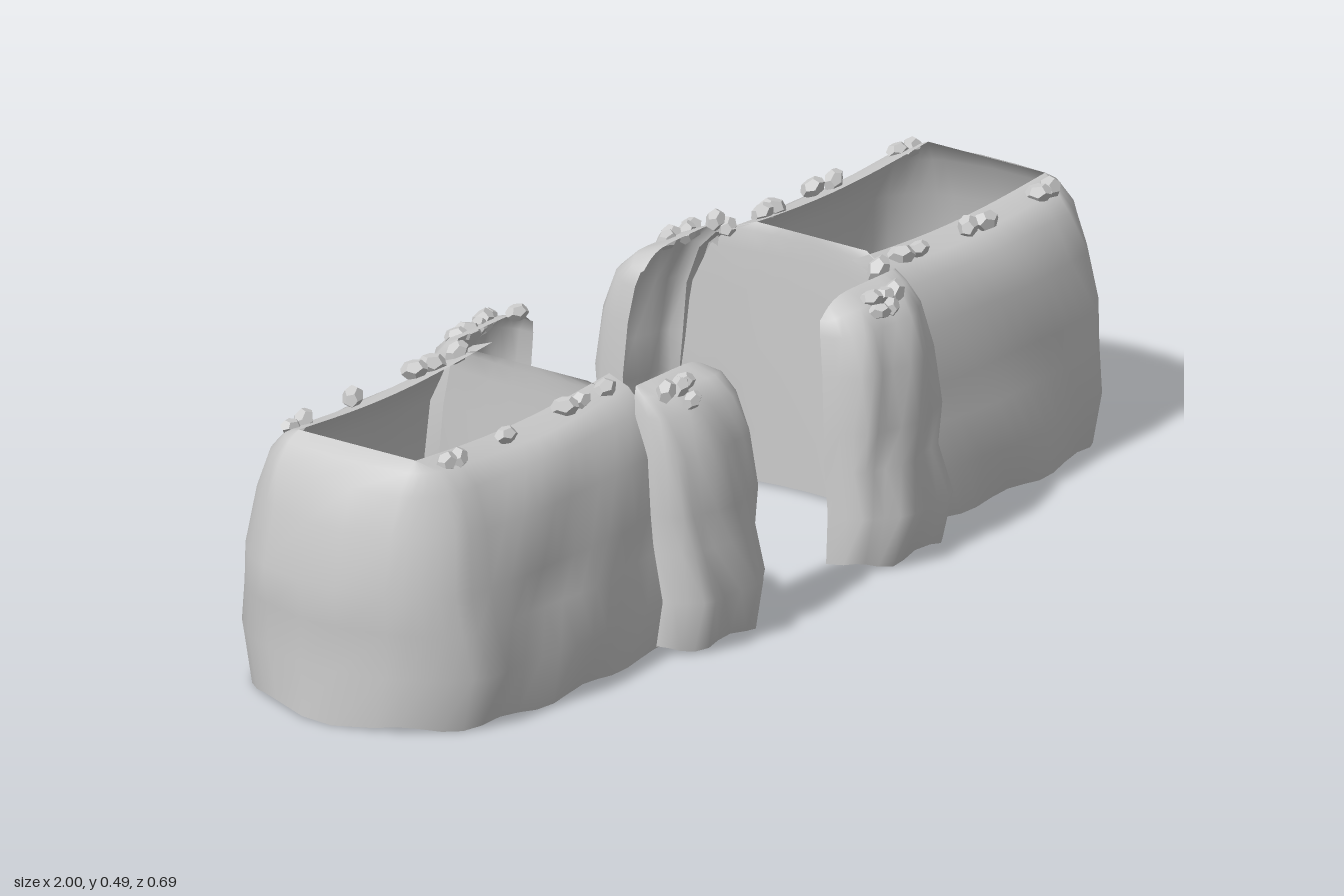
import * as THREE from 'three';

const grey = new THREE.MeshStandardMaterial({ color: 0xcccccc, side: THREE.DoubleSide });
const rockMat = new THREE.MeshStandardMaterial({ color: 0xcccccc, flatShading: true });

let seed = 7;
const rand = () => (seed = (seed * 16807) % 2147483647) / 2147483647;

// Smooth open sheet through rows of equally many [x, y, z] points
function sheet(name, rows) {
  const n = rows[0].length, index = [];
  for (let r = 0; r < rows.length - 1; r++) {
    for (let i = 0; i < n - 1; i++) {
      const a = r * n + i, b = a + n;
      index.push(a, a + 1, b, a + 1, b + 1, b);
    }
  }
  const geo = new THREE.BufferGeometry();
  geo.setAttribute('position', new THREE.Float32BufferAttribute(rows.flat(2), 3));
  geo.setIndex(index);
  geo.computeVertexNormals();
  const mesh = new THREE.Mesh(geo, grey);
  mesh.name = name;
  return mesh;
}

// Wall levels: height, half depth, outer x, corner cut, corner drop in z
const wallLevels = [
  [0.008, 0.266, 0.975, 0.12, 0.14], [0.1, 0.283, 0.97, 0.115, 0.14], [0.18, 0.263, 0.97, 0.1, 0.12],
  [0.25, 0.258, 0.978, 0.1, 0.11], [0.35, 0.243, 0.955, 0.09, 0.1], [0.42, 0.21, 0.937, 0.08, 0.07],
  [0.455, 0.172, 0.91, 0.05, 0.04], [0.47, 0.125, 0.885, 0, 0],
];
const INNER = 0.345;

// U-shaped rock wall: front, chamfered and bowed outer end, back
function rockWall(sx, dz) {
  const rows = wallLevels.map(([y, h, out, cut, drop], k) => {
    const loose = 1 - (k / 7) ** 4;
    const half = [];
    for (let i = 0; i <= 12; i++) {
      const t = i / 12, x = INNER + (out - cut - INNER) * t;
      const bulge = 0.07 * (Math.sin(Math.PI * t) - 1) + 0.014 * Math.sin(i * 0.95 + k * 1.6);
      half.push([x, h * (1 + bulge * loose), Math.sin(Math.PI * t)]);
    }
    const z0 = half[12][1];
    for (let i = 1; i <= 5; i++) {
      const t = i / 5, a = t * Math.PI / 2;
      const px = 0.5 * (t + Math.sin(a)), pz = 0.5 * (t + 1 - Math.cos(a));
      half.push([out - cut + cut * px, z0 - drop * pz, 0]);
    }
    half.push([out + 0.024 * loose, (z0 - drop) * 0.3, 0]);
    const back = half.slice().reverse().map(([x, z, s]) => [x, -z, s]);
    return half.concat(back).map(([x, z, s], i) => {
      const base = k === 0 ? 0.005 * Math.sin(i * 1.3) : 0;
      const sag = k > 5 ? -0.014 * s : 0;
      return [sx * x, y + base + sag, z + dz];
    });
  });
  return sheet('rockWall', rows);
}

// Hollowed sheet that closes the wall towards the gateway
function innerEndWall(sx, dz) {
  const rows = wallLevels.map(([y, h], k) => {
    const row = [], t = k / 7;
    for (let i = 0; i <= 8; i++) {
      const u = i / 4 - 1;
      const x = INNER + 0.052 * t ** 2 + 0.045 * (1 - u * u) * (1 - t ** 2);
      row.push([sx * x, y, h * 0.94 * u + dz]);
    }
    return row;
  });
  return sheet('innerEndWall', rows);
}

// Gate pillar levels: height, outer z, open-edge z, gate-side x, wall-side x
const pillarLevels = [
  [0.012, 0.322, 0.22, 0.13, 0.386], [0.1, 0.343, 0.225, 0.128, 0.388], [0.18, 0.314, 0.215, 0.132, 0.378],
  [0.25, 0.32, 0.215, 0.13, 0.384], [0.35, 0.304, 0.208, 0.135, 0.38], [0.42, 0.278, 0.198, 0.142, 0.374],
  [0.453, 0.24, 0.192, 0.15, 0.368], [0.468, 0.19, 0.19, 0.157, 0.362],
];

// Gate pillar: a curved sheet open towards the middle, rounded off at the gate
function gatePillar(sx, sz) {
  const rows = pillarLevels.map(([y, out, edge, x0, x1], k) => {
    const row = [];
    for (let i = 0; i <= 14; i++) {
      const a = Math.PI * (i / 14);
      const c = Math.cos(a), s = Math.max(0, Math.sin(a));
      const x = (x0 + x1) / 2 + (x1 - x0) / 2 * Math.sign(c) * Math.abs(c) ** 0.8;
      const ripple = 1 + 0.06 * (Math.sin(i * 1.6 + k) - 0.6);
      const z = edge + (out - edge) * s ** 0.72 * ripple;
      const base = k === 0 ? 0.005 * Math.sin(i * 1.2) : 0;
      const slump = 0.03 * Math.max(0, -c) ** 3 * (k / 7) ** 4;
      row.push([sx * x, y + base - slump, sz * z]);
    }
    return row;
  });
  return sheet('gatePillar', rows);
}

// Pebbles on the rims: [z, height, x positions]
const pebbleRows = [
  [-0.17, 0.46, [-0.86, -0.82, -0.68, -0.51, -0.47, -0.4, 0.37, 0.46, 0.49, 0.61, 0.66, 0.84, 0.87]],
  [0.15, 0.46, [-0.84, -0.81, -0.67, -0.5, -0.46, -0.39, 0.36, 0.44, 0.48, 0.62, 0.66, 0.82, 0.85]],
  [-0.23, 0.453, [-0.32, -0.29, -0.26, -0.24, -0.22, 0.27, 0.29, 0.32, 0.34]],
  [0.235, 0.458, [-0.33, -0.3, -0.28, 0.24, 0.27, 0.29]],
  [0.265, 0.445, [-0.31, 0.23, 0.26]],
  [-0.188, 0.473, [-0.21, 0.355]],
];

function pebbles() {
  const group = new THREE.Group();
  group.name = 'pebbles';
  const geo = new THREE.DodecahedronGeometry(1);
  for (const [z, y, xs] of pebbleRows) {
    for (const x of xs) {
      const r = 0.015 + 0.005 * rand();
      const pebble = new THREE.Mesh(geo, rockMat);
      pebble.name = 'pebble';
      pebble.scale.set(r * 1.35, r * 0.95, r);
      pebble.rotation.set(rand() * 0.8, (rand() - 0.5) * 1.5, rand() * 0.8);
      pebble.position.set(x, y, z + (rand() - 0.5) * 0.015);
      group.add(pebble);
    }
  }
  return group;
}

export function createModel() {
  seed = 7;
  const model = new THREE.Group();
  model.name = 'rockGateway';
  for (const sx of [-1, 1]) {
    const dz = sx > 0 ? -0.015 : -0.005;
    const side = new THREE.Group();
    side.name = sx > 0 ? 'leftRocks' : 'rightRocks';
    side.add(rockWall(sx, dz), innerEndWall(sx, dz), gatePillar(sx, 1), gatePillar(sx, -1));
    model.add(side);
  }
  model.add(pebbles());
  return model;
}
